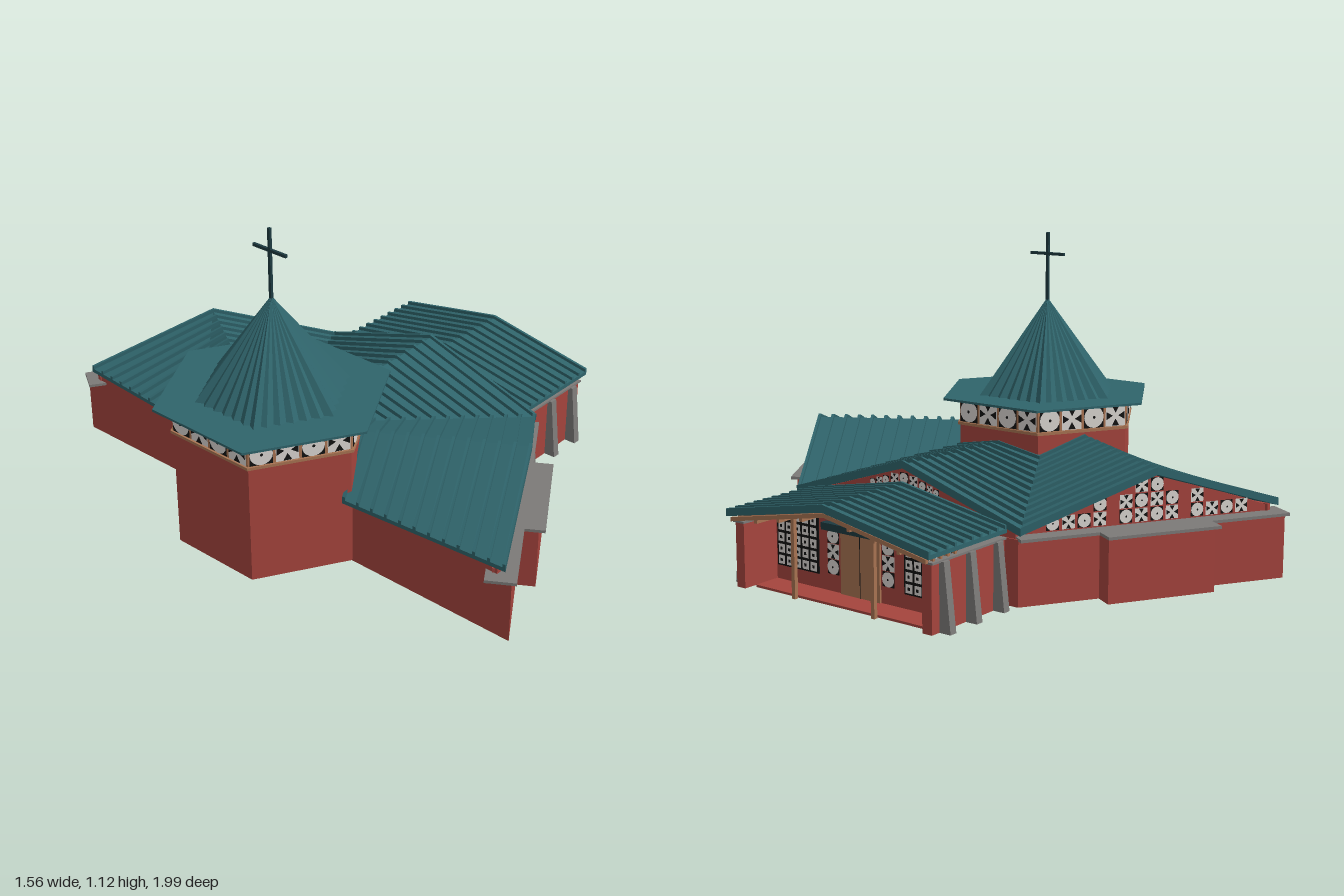
import * as THREE from 'three';
import { mergeGeometries } from 'three/addons/utils/BufferGeometryUtils.js';

const mat = (name, color) => Object.assign(new THREE.MeshStandardMaterial({ color }), { name });
const brick = mat('red brick', 0xa5443d), metal = mat('teal metal', 0x2f646b), stone = mat('grey stone', 0x7c7a78);
const wood = mat('wood', 0xa87352), white = mat('white screen', 0xdad6d2), black = mat('black glass', 0x121212);
const dark = mat('dark metal', 0x1d3a40);
const V = (x, y, z) => new THREE.Vector3(x, y, z);

function add(parent, name, geo, material, x = 0, y = 0, z = 0) {
  const m = new THREE.Mesh(geo, material);
  m.name = name;
  m.position.set(x, y, z);
  parent.add(m);
  return m;
}
// box given by its min and max corners
function box(parent, name, material, x0, x1, y0, y1, z0, z1) {
  return add(parent, name, new THREE.BoxGeometry(x1 - x0, y1 - y0, z1 - z0), material, (x0 + x1) / 2, (y0 + y1) / 2, (z0 + z1) / 2);
}
function hexPrism(parent, name, material, r, y0, y1) {
  const g = new THREE.CylinderGeometry(r, r, y1 - y0, 6).toNonIndexed();
  g.computeVertexNormals();
  return add(parent, name, g, material, 0, (y0 + y1) / 2, 0);
}
const poly = (pts) => new THREE.Shape(pts.map((p) => new THREE.Vector2(p[0], p[1])));
const extrude = (pts, depth) => new THREE.ExtrudeGeometry(poly(pts), { depth, bevelEnabled: false });

// sloping slab: four top corners, lowered by t for the underside
function slab(a, b, c, d, t) {
  if (b.clone().sub(a).cross(c.clone().sub(a)).y < 0) [b, d] = [d, b];
  const top = [a, b, c, d], low = top.map((p) => p.clone().setY(p.y - t));
  const tris = [a, b, c, a, c, d, low[0], low[2], low[1], low[0], low[3], low[2]];
  for (let i = 0; i < 4; i++) {
    const j = (i + 1) % 4;
    tris.push(low[i], low[j], top[j], low[i], top[j], top[i]);
  }
  const g = new THREE.BufferGeometry().setFromPoints(tris);
  g.computeVertexNormals();
  return g;
}
// metal roof plane with raised seams running from ridge (a-b) to eave (d-c)
function roofPlane(parent, name, a, b, c, d, seams) {
  const geos = [slab(a, b, c, d, 0.014)];
  const w = 0.005 / a.distanceTo(b), up = V(0, 0.012, 0);
  for (let i = 0; i < seams; i++) {
    const t = w + (1 - 2 * w) * i / (seams - 1);
    const on = (p, q, k) => p.clone().lerp(q, k).add(up);
    geos.push(slab(on(a, b, t - w), on(a, b, t + w), on(d, c, t + w), on(d, c, t - w), 0.014));
  }
  add(parent, name, mergeGeometries(geos), metal);
}

// patterned screen tiles, alternating rosette and cross, facing local +z
function screens(parent, name, list, z) {
  const w = [], k = [];
  list.forEach(([x, y, s, type]) => {
    const put = (arr, g, dx, dy, dz) => arr.push(g.translate(x + dx, y + dy, z + dz));
    if (type % 2 === 0) {
      put(k, new THREE.PlaneGeometry(s, s), 0, 0, 0);
      put(w, new THREE.CircleGeometry(s * 0.5, 16), 0, 0, 0.002);
      put(k, new THREE.CircleGeometry(s * 0.07, 8), 0, 0, 0.004);
    } else {
      put(w, new THREE.PlaneGeometry(s, s), 0, 0, 0);
      for (let i = 0; i < 4; i++) {
        const a = i * Math.PI / 2;
        put(k, new THREE.CircleGeometry(s * 0.22, 3, a + Math.PI), Math.cos(a) * s * 0.36, Math.sin(a) * s * 0.36, 0.002);
      }
    }
  });
  add(parent, name + 'White', mergeGeometries(w), white);
  add(parent, name + 'Black', mergeGeometries(k), black);
}

function buildTower(root) {
  const tower = new THREE.Group();
  tower.name = 'tower';
  tower.position.x = -0.43;
  root.add(tower);
  hexPrism(tower, 'towerWall', brick, 0.34, 0.03, 0.455);
  hexPrism(tower, 'towerSill', wood, 0.35, 0.45, 0.46);
  hexPrism(tower, 'towerWindowBand', wood, 0.342, 0.46, 0.542);
  hexPrism(tower, 'towerEaves', metal, 0.405, 0.541, 0.549);
  for (let i = 0; i < 6; i++) {
    const face = new THREE.Group();
    face.name = 'towerWindows';
    face.rotation.y = Math.PI / 6 + i * Math.PI / 3;
    tower.add(face);
    screens(face, 'towerScreen', [0, 1, 2, 3].map((j) => [(j - 1.5) * 0.085, 0.5, 0.076, j]), 0.2985);
  }
  // pleated spire
  const ring = [], pleats = 12, tris = [];
  const corner = (i) => V(Math.sin(i * Math.PI / 3), 0, Math.cos(i * Math.PI / 3)).multiplyScalar(0.265);
  for (let i = 0; i < 6; i++) for (let j = 0; j < pleats; j++)
    ring.push(corner(i).lerp(corner(i + 1), j / pleats).multiplyScalar(j % 2 ? 0.94 : 1));
  ring.forEach((p, i) => tris.push(p, ring[(i + 1) % ring.length], V(0, 0.342, 0)));
  const spire = new THREE.BufferGeometry().setFromPoints(tris);
  spire.computeVertexNormals();
  add(tower, 'spire', spire, metal, 0, 0.549, 0);
  box(tower, 'crossPost', dark, -0.005, 0.005, 0.87, 1.125, -0.005, 0.005);
  box(tower, 'crossBar', dark, -0.005, 0.005, 1.044, 1.054, -0.072, 0.072);
}

// side = 1 for the +z wing, -1 for the -z wing
function buildWing(root, side) {
  const wing = new THREE.Group();
  wing.name = side > 0 ? 'frontWing' : 'backWing';
  const angle = Math.atan2(0.527, 0.85);
  wing.rotation.y = side > 0 ? angle : Math.PI - angle;
  wing.position.set(0, 0, side * 0.734);
  root.add(wing);
  const ends = [-0.494 * side, 0.47 * side].sort((p, q) => p - q);
  box(wing, 'wallLedge', stone, ends[0], ends[1], 0.236, 0.246, -0.1, 0);
  box(wing, 'bayWall', brick, -0.19, 0.19, 0.02, 0.236, -0.1, 0.045);
  box(wing, 'bayLedge', stone, -0.2, 0.2, 0.236, 0.246, -0.1, 0.067);
  add(wing, 'gableWall', extrude([[-0.45, 0.24], [0.45, 0.24], [0.45, 0.262], [0, 0.416], [-0.45, 0.262]], 0.02), brick, 0, 0, -0.08);
  // stepped screens under the gable
  const list = [], cols = [-0.34, -0.285, -0.23, -0.175, -0.083, -0.028, 0.028, 0.083, 0.175, 0.23, 0.285, 0.34];
  [0.274, 0.323, 0.372].forEach((y, r) => cols.forEach((s, c) => {
    if (y + 0.023 < 0.422 - 0.34 * Math.abs(s)) list.push([s, y, 0.045, r + c]);
  }));
  screens(wing, 'gableScreen', list, -0.056);
  // roof planes
  const ridgeOut = V(0, 0.43, side * 0.735), ridgeIn = V(-0.29, 0.43, side * 0.26);
  roofPlane(root, 'wingRoofOuter', ridgeOut, ridgeIn, V(-0.465, 0.28, side * 0.33), V(-0.42, 0.28, side * 0.95), 12);
  roofPlane(root, 'wingRoofInner', ridgeOut, ridgeIn, V(-0.14, 0.37, side * 0.175), V(0.39, 0.268, side * 0.475), 12);
  const z = [side * 0.32, side * 0.92].sort((p, q) => p - q);
  box(root, 'wingEaveWall', brick, -0.42, -0.4, 0.23, 0.27, z[0], z[1]);
}

function buildNaveAndPorch(root) {
  const frontFace = (pts, depth) => extrude(pts, depth).rotateY(Math.PI / 2);
  // large base under the nave and both wings
  const base = extrude([[-0.42, -0.975], [0.385, -0.465], [0.385, 0.465], [-0.42, 0.975]], 0.22).rotateX(-Math.PI / 2);
  add(root, 'mainWalls', base, brick, 0, 0.02, 0);
  add(root, 'naveGable', frontFace([[-0.45, 0.23], [0.45, 0.23], [0.45, 0.26], [0, 0.406], [-0.45, 0.26]], 0.02), brick, 0.36, 0, 0);
  add(root, 'porchRoom', frontFace([[-0.385, 0.01], [0.385, 0.01], [0.385, 0.262], [0, 0.338], [-0.385, 0.262]], 0.215), brick, 0.384, 0, 0);
  box(root, 'porchStep', brick, 0.39, 0.59, 0, 0.012, -0.375, 0.375);
  box(root, 'porchFloor', brick, 0.59, 0.7, 0.008, 0.016, -0.375, 0.375);

  const front = new THREE.Group();
  front.name = 'entranceFront';
  front.rotation.y = Math.PI / 2;
  root.add(front);
  const gableTiles = [[0, 0.372, 0.036, 0]];
  [-1, 1].forEach((s) => [[0.04, 0.366, 0.034, 1], [0.078, 0.356, 0.028, 0], [0.108, 0.349, 0.024, 1], [0.135, 0.341, 0.022, 0]]
    .forEach(([x, ...r]) => gableTiles.push([s * x, ...r])));
  screens(front, 'naveScreen', gableTiles, 0.383);

  // entrance door, side screens and lattice windows
  box(front, 'door', wood, -0.083, 0.083, 0.014, 0.222, 0.59, 0.606);
  box(front, 'doorSeam', black, -0.001, 0.001, 0.014, 0.222, 0.6, 0.607);
  box(front, 'doorLintel', dark, -0.15, 0.15, 0.226, 0.25, 0.59, 0.625);
  const sideTiles = [], holes = [], dots = [];
  [-1, 1].forEach((s) => {
    for (let r = 0; r < 3; r++) sideTiles.push([s * 0.117, 0.1 + r * 0.052, 0.05, r]);
    box(front, 'latticeGlass', black, s * 0.275 - 0.093, s * 0.275 + 0.093, 0.065, 0.265, 0.595, 0.603);
    for (let c = 0; c < 5; c++) for (let r = 0; r < 5; r++) {
      const x = s * 0.275 + (c - 2) * 0.036, y = 0.086 + r * 0.039;
      holes.push(new THREE.PlaneGeometry(0.028, 0.03).translate(x, y, 0.605));
      dots.push(new THREE.PlaneGeometry(0.01, 0.01).translate(x, y, 0.607));
    }
    box(front, 'doorPillar', wood, s * 0.168 - 0.007, s * 0.168 + 0.007, 0.016, 0.3, 0.725, 0.739);
  });
  screens(front, 'doorScreen', sideTiles, 0.603);
  add(front, 'latticePanels', mergeGeometries(holes), white);
  add(front, 'latticeDots', mergeGeometries(dots), black);

  [-1, 1].forEach((s) => {
    const zs = (p, q) => [s * p, s * q].sort((m, n) => m - n);
    box(root, 'porchSideWall', brick, 0.385, 0.75, 0.015, 0.235, ...zs(0.375, 0.412));
    box(root, 'porchWallCap', stone, 0.385, 0.755, 0.235, 0.242, ...zs(0.37, 0.42));
    // open screen strip above the side wall
    box(root, 'porchSideBeam', wood, 0.6, 0.75, 0.242, 0.262, ...zs(0.385, 0.395));
    const strip = new THREE.Group();
    strip.name = 'porchSideScreen';
    strip.rotation.y = s > 0 ? 0 : Math.PI;
    root.add(strip);
    screens(strip, 'sideScreen', [0, 1, 2, 3, 4, 5].map((i) => [s * (0.615 + i * 0.024), 0.252, 0.018, i]), 0.397);
    // leaning buttresses
    [0.43, 0.57, 0.7].forEach((x) => add(root, 'buttress',
      frontFace([[-s * 0.4, 0.015], [-s * 0.455, 0.015], [-s * 0.43, 0.238], [-s * 0.4, 0.238]], 0.028), stone, x - 0.014, 0, 0));
    // rafters below the porch roof
    for (let i = 0; i < 5; i++) {
      const x = 0.625 + i * 0.035;
      add(root, 'rafter', slab(V(x, 0.333, 0), V(x + 0.01, 0.333, 0), V(x + 0.01, 0.256, s * 0.41), V(x, 0.256, s * 0.41), 0.014), wood);
    }
    [0.1, 0.2, 0.3].forEach((z) => {
      const y = 0.32 - z * 0.19;
      box(root, 'purlin', wood, 0.6, 0.77, y - 0.012, y, s * z - 0.006, s * z + 0.006);
    });
    roofPlane(root, 'naveRoof', V(-0.14, 0.4, 0), V(0.392, 0.42, 0), V(0.392, 0.268, s * 0.478), V(-0.14, 0.37, s * 0.175), 12);
    roofPlane(root, 'porchRoof', V(0.39, 0.35, 0), V(0.78, 0.35, 0), V(0.78, 0.272, s * 0.425), V(0.39, 0.272, s * 0.425), 10);
  });
}

export function createModel() {
  const root = new THREE.Group();
  root.name = 'church';
  buildTower(root);
  buildWing(root, 1);
  buildWing(root, -1);
  buildNaveAndPorch(root);
  return root;
}
